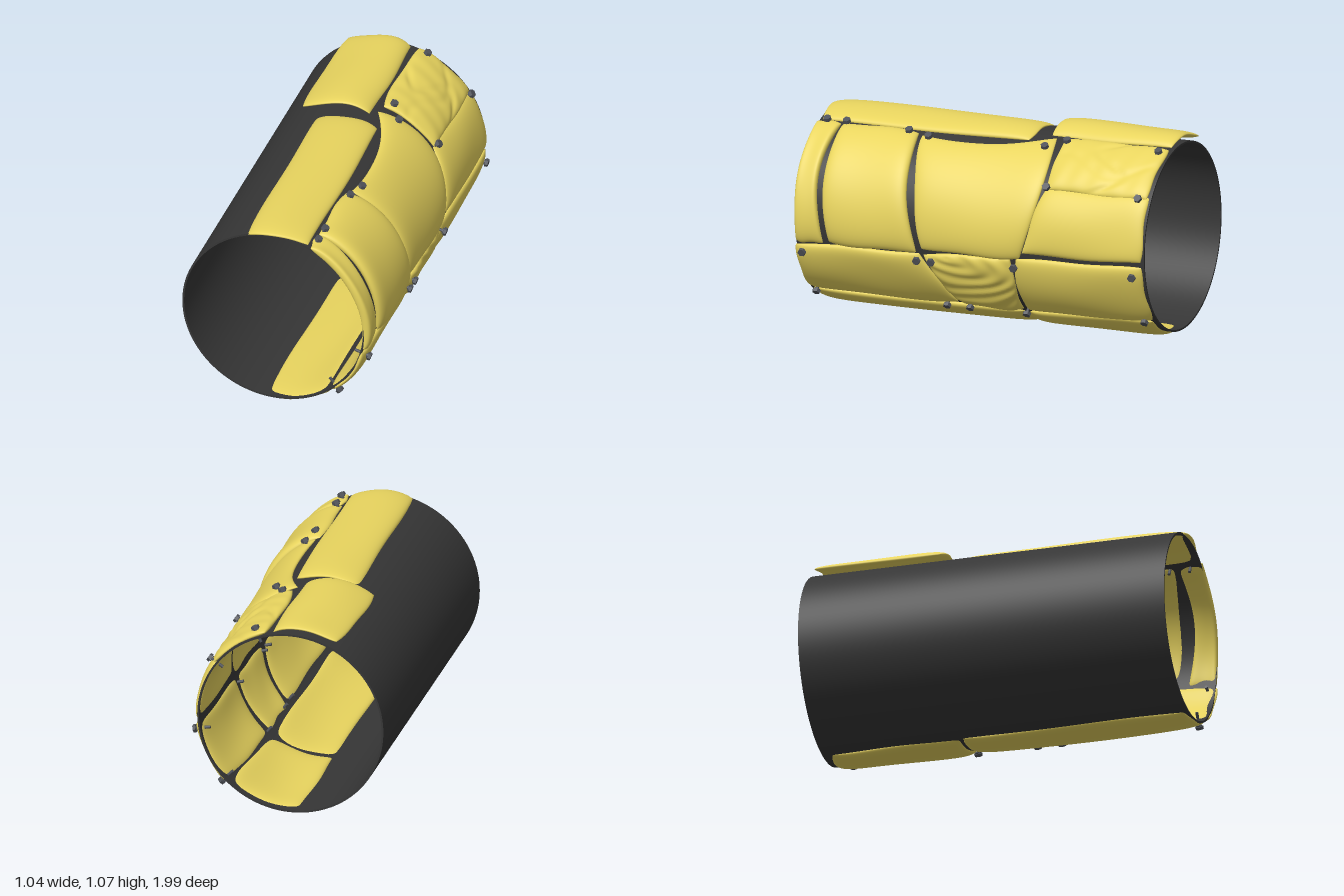
import * as THREE from 'three';
import { mergeVertices, mergeGeometries } from 'three/addons/utils/BufferGeometryUtils.js';

const CX = -0.03, CY = 0.525; // axis of the tube, which runs along z
const yellow = new THREE.MeshStandardMaterial({ color: 0xe8d45e });
const dark = new THREE.MeshStandardMaterial({ color: 0x363636 });
const steel = new THREE.MeshStandardMaterial({ color: 0x50535a });
const rad = THREE.MathUtils.degToRad;
const mix = THREE.MathUtils.lerp;

// Shallow carved grain: wavy rings or winding grooves
const rings = (u, v) => 0.004 * Math.sin(17 * Math.hypot(u + 0.9, 0.8 * v + 0.3 + 0.15 * Math.sin(4 * u)));
const grooves = (u, v) => {
  const d = v - 0.1 - 0.3 * Math.sin(4 * u), e = u - 0.1 - 0.35 * Math.sin(3 * v + 1);
  return -0.008 * Math.exp(-d * d * 70) - 0.005 * Math.exp(-e * e * 60) + 0.0015 * Math.sin(16 * v + 3 * u);
};

// Curved plate wrapped on the tube, from angle top to angle bottom (degrees).
// front, back: z of that edge at its top and bottom ends
// tilt: slope of the top and bottom edges; bend: bow of the top, front and back edges
// radii: middle radius at top, centre and bottom; half: half the thickness
function plate(name, [top, bottom], front, back, options = {}) {
  const { tilt = [0, 0], bend = [0, 0, 0], radii = [0.502, 0.5, 0.502], half = 0.024, carve } = options;
  const seed = top + 3 * front[0]; // varies the unevenness from plate to plate
  const n = carve ? 48 : 32, pos = [], idx = [];
  for (const side of [1, -1]) {
    const base = pos.length / 3;
    for (let i = 0; i <= n; i++) for (let j = 0; j <= n; j++) {
      // u runs from top to bottom, v from front to back, denser near the edges
      const u = Math.sin((i / n - 0.5) * Math.PI), v = Math.sin((j / n - 0.5) * Math.PI);
      const corner = 1 - 0.025 * (u * v) ** 4;
      const p = (u * corner + 1) / 2, q = (v * corner + 1) / 2;
      const th = mix(top + tilt[0] * v + bend[0] * (1 - v * v), bottom + tilt[1] * v, p)
        + 0.5 * Math.sin(4 * v + seed);
      const z = mix(mix(...front, p) + bend[1] * (1 - u * u), mix(...back, p) + bend[2] * (1 - u * u), q)
        + 0.004 * Math.sin(4 * u + seed * 2);
      // rounded rim, gentle dents and carving
      const rim = Math.sqrt(Math.max(0, (1 - u ** 8) * (1 - v ** 8)));
      let r = mix(mix(radii[0], radii[2], p), radii[1], 1 - u * u) + side * half * rim;
      r += 0.004 * Math.sin(2.3 * u + seed * 1.7) * Math.cos(2.6 * v + seed);
      if (carve && side > 0) r += carve(u, v) * rim;
      pos.push(CX + r * Math.cos(rad(th)), CY + r * Math.sin(rad(th)), z);
      if (i < n && j < n) {
        const k = base + i * (n + 1) + j, l = k + n + 1;
        if (side > 0) idx.push(k, l, k + 1, l, l + 1, k + 1);
        else idx.push(k, k + 1, l, l, k + 1, l + 1);
      }
    }
  }
  const shell = new THREE.BufferGeometry();
  shell.setAttribute('position', new THREE.Float32BufferAttribute(pos, 3));
  shell.setIndex(idx);
  const geometry = mergeVertices(shell, 1e-5);
  geometry.computeVertexNormals();
  const mesh = new THREE.Mesh(geometry, yellow);
  mesh.name = name;
  return mesh;
}

// Thin open tube with an outer wall, an inner wall and two rims
function makeTube() {
  const outer = 0.498, inner = 0.488, back = -1, front = 0.97;
  const ring = [[inner, back], [outer, back], [outer, front], [inner, front]].map(p => new THREE.Vector2(...p));
  const walls = ring.map((p, k) => new THREE.LatheGeometry([p, ring[(k + 1) % 4]], 96));
  const tube = new THREE.Mesh(mergeGeometries(walls), dark);
  tube.name = 'tube';
  tube.rotation.x = Math.PI / 2;
  tube.position.set(CX, CY, 0);
  return tube;
}

// Hex bolt standing along +y, with a shaft through the wall
function boltGeometry() {
  const shaft = new THREE.CylinderGeometry(0.008, 0.008, 0.085, 10).translate(0, 0.495, 0);
  const washer = new THREE.CylinderGeometry(0.016, 0.016, 0.005, 16).translate(0, 0.525, 0);
  const head = new THREE.CylinderGeometry(0.021, 0.023, 0.016, 6).translate(0, 0.537, 0).toNonIndexed();
  head.computeVertexNormals();
  return mergeGeometries([shaft.toNonIndexed(), washer.toNonIndexed(), head]);
}

export function createModel() {
  const model = new THREE.Group();
  model.name = 'platedTube';
  model.add(makeTube());

  // top row
  model.add(
    plate('topBackPlate', [118.5, 78], [-0.29, -0.3], [-0.99, -0.99],
      { tilt: [-1.5, 0], bend: [2, 0, 0], radii: [0.535, 0.532, 0.5], half: 0.018 }),
    plate('topFrontPlate', [108, 68.5], [0.99, 0.97], [-0.22, -0.22],
      { tilt: [1, 0.5], radii: [0.494, 0.503, 0.5], half: 0.022 }),
  );

  // upper side row
  model.add(
    plate('upperFrontStrip', [67, -13], [0.98, 0.975], [0.84, 0.82], { bend: [0, 0, 0.03] }),
    plate('upperFrontPlate', [67, -12], [0.835, 0.79], [0.395, 0.285],
      { bend: [0, 0.01, 0.015], radii: [0.498, 0.514, 0.512], half: 0.032 }),
    plate('upperMiddlePlate', [70.5, -10], [0.38, 0.265], [-0.36, -0.3], { tilt: [5.5, 0], bend: [-9, 0, -0.05] }),
    plate('carvedUpperPlate', [74, 34], [-0.39, -0.4], [-0.99, -0.98],
      { bend: [2, -0.015, 0], radii: [0.505, 0.505, 0.505], carve: grooves }),
    plate('upperBackPlate', [37, -5], [-0.4, -0.3], [-0.99, -0.99],
      { tilt: [0, 1], bend: [0, -0.01, 0], radii: [0.49, 0.5, 0.502] }),
  );

  // lower side row
  model.add(
    plate('lowerFrontPlate', [-13, -51.5], [0.98, 0.97], [0.265, 0.115], { tilt: [1, 0] }),
    plate('carvedLowerPlate', [-10.5, -52], [0.255, 0.1], [-0.25, -0.245], { tilt: [1.5, 0], carve: rings }),
    plate('lowerBackPlate', [-7.5, -50], [-0.26, -0.26], [-0.99, -0.99], { tilt: [1.5, 2] }),
  );

  // bottom row
  const bottomRadii = [0.505, 0.497, 0.494];
  model.add(
    plate('bottomFrontPlate', [-53, -95], [0.97, 0.96], [-0.25, -0.25], { radii: bottomRadii }),
    plate('bottomBackPlate', [-51, -95], [-0.26, -0.26], [-0.98, -0.96],
      { tilt: [2, 0], bend: [2, 0, 0], radii: bottomRadii }),
  );

  // bolts near the plate corners, as angle and z
  const bolts = [
    [68, -0.95], [34, -0.94], [69, -0.43], [35, -0.42],
    [62, -0.33], [60, 0.32], [63, 0.44], [65, 0.8], [65, 0.91],
    [-18, 0.93], [-15.5, 0.28], [-15.5, 0.2], [-13.5, -0.27], [-11.5, -0.94],
    [-50, 0.92], [-50, 0.18], [-50, 0.05], [-50, -0.27], [-45, -0.95],
  ];
  const hexBolt = boltGeometry();
  for (const [angle, z] of bolts) {
    const bolt = new THREE.Mesh(hexBolt, steel);
    bolt.name = 'bolt';
    bolt.rotation.z = rad(angle - 90);
    bolt.position.set(CX, CY, z);
    model.add(bolt);
  }
  return model;
}
